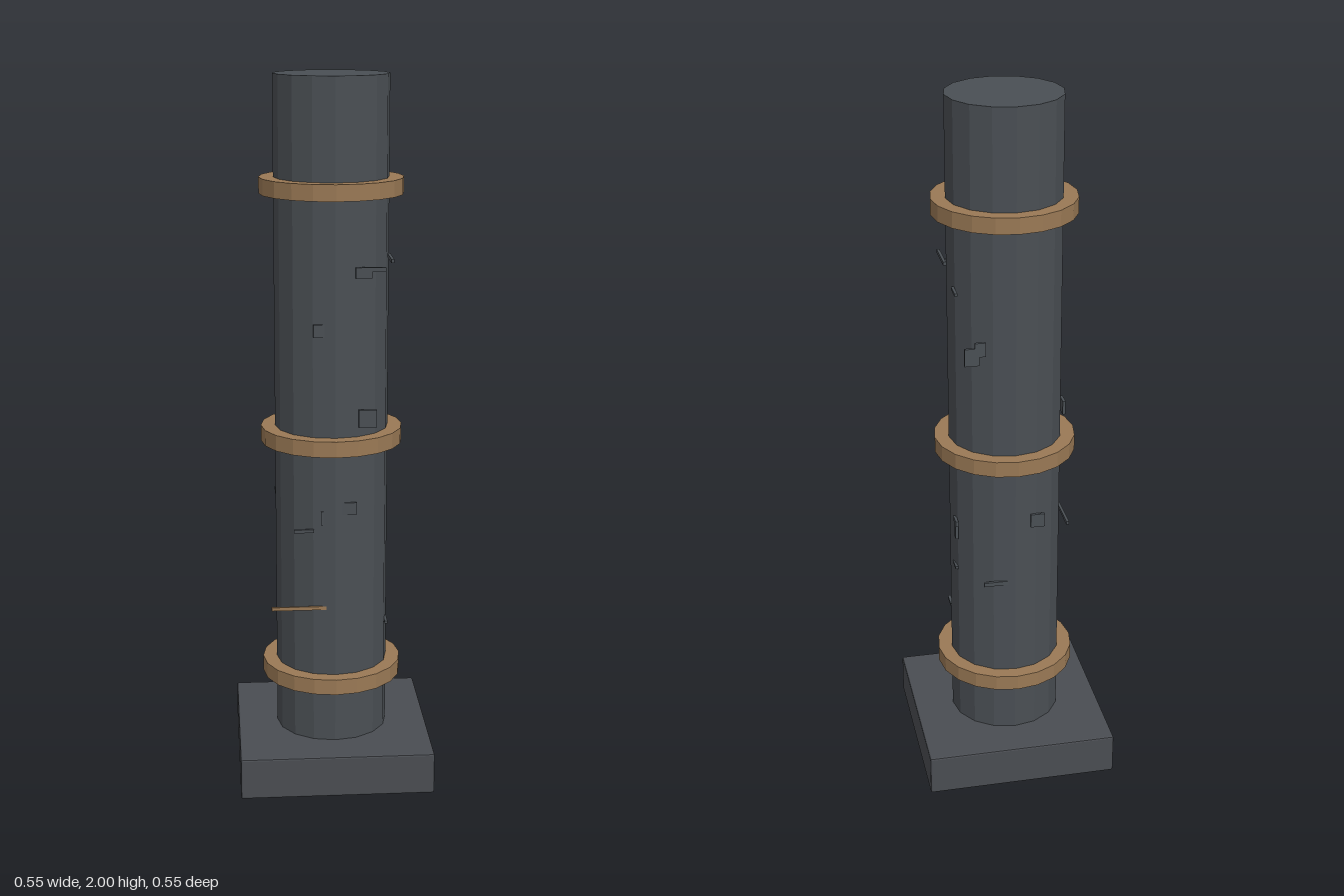
import * as THREE from 'three';
import { RoundedBoxGeometry } from 'three/addons/geometries/RoundedBoxGeometry.js';

export function createModel() {
  const group = new THREE.Group();
  const mat = (name, color) => new THREE.MeshStandardMaterial({ name, color, flatShading: true });
  const stone = mat('dark stone', 0x4a4f54);
  const plinthStone = mat('plinth stone', 0x4a4d52);
  const bronze = mat('bronze', 0x9a7955);

  const add = (name, geometry, material, x, y, z) => {
    const mesh = new THREE.Mesh(geometry, material);
    mesh.name = name;
    mesh.position.set(x, y, z);
    group.add(mesh);
  };

  // Square plinth with slightly softened edges
  add('plinth', new RoundedBoxGeometry(0.55, 0.12, 0.55, 1, 0.005), plinthStone, 0, 0.06, 0);

  // Sixteen-sided shaft
  add('shaft', new THREE.CylinderGeometry(0.16, 0.16, 1.88, 16), stone, 0, 1.06, 0);

  // Bronze bands
  for (const y of [0.3, 1, 1.7]) {
    add('band', new THREE.CylinderGeometry(0.2, 0.2, 0.045, 20), bronze, 0, y, 0);
  }

  // Thin chips and slats on each side: [start, end, bottom, top] along x or z
  const T = 0.008, D = 0.153;
  const sides = {
    front: [
      [0.055, 0.137, 1.483, 1.495], [0.055, 0.1, 1.465, 1.485],
      [-0.06, -0.03, 1.305, 1.34], [0.065, 0.115, 1.05, 1.1],
      [-0.04, -0.033, 0.77, 0.81], [-0.115, -0.06, 0.749, 0.758],
      [0.02, 0.06, 0.8, 0.835],
    ],
    back: [
      [0.1, 0.14, 1.3, 1.35], [0.082, 0.112, 1.325, 1.365],
      [-0.085, -0.045, 0.79, 0.83], [0.02, 0.09, 0.61, 0.622],
    ],
    left: [
      [0.065, 0.172, 1.509, 1.519], [-0.11, -0.055, 1.485, 1.493],
      [-0.08, -0.04, 0.773, 0.788], [-0.075, -0.055, 0.73, 0.78],
      [-0.065, -0.025, 0.625, 0.633], [0.03, 0.08, 0.443, 0.451],
    ],
    right: [[-0.085, -0.045, 1.1, 1.14], [-0.152, -0.02, 0.785, 0.795]],
  };
  for (const [side, chips] of Object.entries(sides)) {
    const alongX = side === 'front' || side === 'back';
    const out = side === 'front' || side === 'left' ? D : -D;
    for (const [a, b, y0, y1] of chips) {
      const w = b - a, h = y1 - y0, mid = (a + b) / 2, y = (y0 + y1) / 2;
      if (alongX) add(side + 'Chip', new THREE.BoxGeometry(w, h, T), stone, mid, y, out);
      else add(side + 'Chip', new THREE.BoxGeometry(T, h, w), stone, out, y, mid);
    }
  }

  // Single bronze sliver on the front
  add('bronzeSliver', new THREE.BoxGeometry(0.155, 0.01, 0.006), bronze, -0.102, 0.524, 0.153);

  return group;
}
